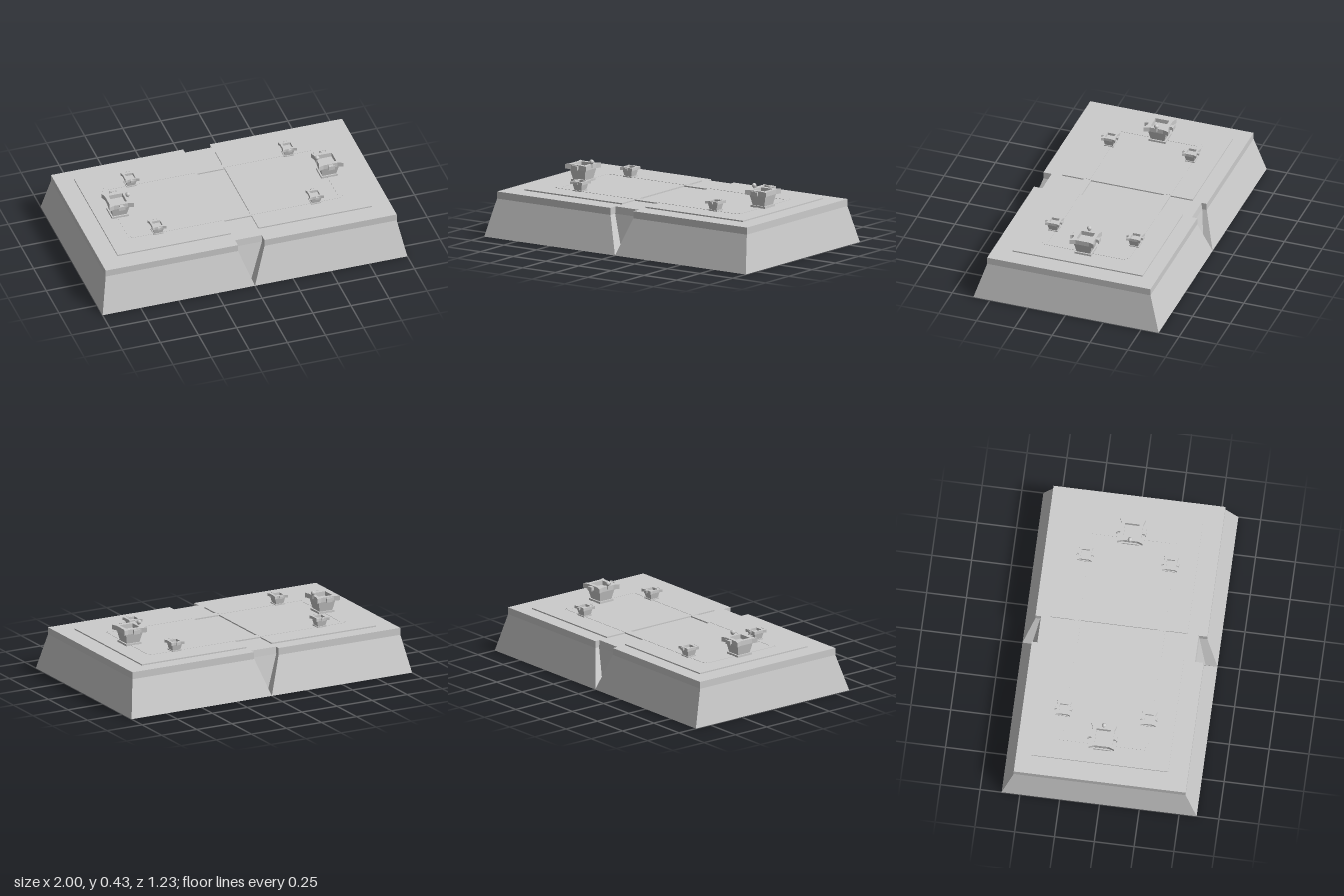
import * as THREE from 'three';

const mat = new THREE.MeshStandardMaterial({ color: 0xcccccc, flatShading: true, side: THREE.DoubleSide });

function add(parent, name, geo, x = 0, y = 0, z = 0) {
  const mesh = new THREE.Mesh(geo, mat);
  mesh.name = name;
  mesh.position.set(x, y, z);
  parent.add(mesh);
  return mesh;
}

// Extrude an outline given as [x, z] points upward from y = 0
function slab(points, holes, height) {
  const toV = ([x, z]) => new THREE.Vector2(x, -z);
  const shape = new THREE.Shape(points.map(toV));
  holes.forEach((h) => shape.holes.push(new THREE.Path(h.map(toV))));
  return new THREE.ExtrudeGeometry(shape, { depth: height, bevelEnabled: false }).rotateX(-Math.PI / 2);
}

// Square frustum standing on y = 0
function frustum(bottom, top, height) {
  return new THREE.CylinderGeometry(top * Math.SQRT2, bottom * Math.SQRT2, height, 4)
    .rotateY(Math.PI / 4).translate(0, height / 2, 0);
}

// Rectangular loop with a notch of half width w in the front and back sides
function loop(y, X, front, back, w, notchFront, notchBack) {
  return [
    [-X, front], [-w, front], [-w, notchFront], [w, notchFront], [w, front], [X, front],
    [X, back], [w, back], [w, notchBack], [-w, notchBack], [-w, back], [-X, back],
  ].map(([x, z]) => new THREE.Vector3(x, y, z));
}

// Hollow base: loops run from the ceiling inside, around the rim, to the top
function baseGeometry() {
  const loops = [
    loop(0.25, 0.885, 0.495, -0.505, 0.095, 0.455, -0.485),
    loop(0, 0.92, 0.53, -0.54, 0, 0.53, -0.54),
    loop(0, 1, 0.61, -0.615, 0, 0.535, -0.555),
    loop(0.235, 0.955, 0.535, -0.545, 0.087, 0.485, -0.515),
    loop(0.28, 0.955, 0.535, -0.545, 0.087, 0.48, -0.51),
  ];
  const pos = [];
  const tri = (...vs) => vs.forEach((v) => pos.push(v.x, v.y, v.z));
  for (let k = 0; k + 1 < loops.length; k++) {
    const lo = loops[k], up = loops[k + 1];
    lo.forEach((a, i) => {
      const j = (i + 1) % lo.length;
      tri(a, lo[j], up[j]);
      tri(a, up[j], up[i]);
    });
  }
  const cap = (ring, up) => {
    const flat = ring.map((v) => new THREE.Vector2(v.x, -v.z));
    for (const [a, b, c] of THREE.ShapeUtils.triangulateShape(flat, [])) {
      if (up) tri(ring[a], ring[b], ring[c]);
      else tri(ring[a], ring[c], ring[b]);
    }
  };
  cap(loops[4], true);
  cap(loops[0], false);
  const geo = new THREE.BufferGeometry();
  geo.setAttribute('position', new THREE.Float32BufferAttribute(pos, 3));
  geo.computeVertexNormals();
  return geo;
}

// Tower with a flared, open crown; the large one carries a ball
function tower(name, withBall) {
  const g = new THREE.Group();
  g.name = name;
  add(g, 'towerFoot', new THREE.BoxGeometry(0.11, 0.014, 0.11), 0, 0.007, 0);
  add(g, 'towerBody', frustum(0.045, 0.06, 0.07), 0, 0.012, 0);
  const outline = [];
  for (let i = 0; i < 4; i++) {
    const c = Math.round(Math.cos(i * Math.PI / 2)), s = Math.round(Math.sin(i * Math.PI / 2));
    // one flared corner and the hollowed side after it
    for (const [x, z] of [[-0.08, 0.08], [-0.045, 0.068], [0.045, 0.068]])
      outline.push([x * c + z * s, z * c - x * s]);
  }
  const r = 0.045;
  add(g, 'towerCrown', slab(outline, [[[-r, -r], [r, -r], [r, r], [-r, r]]], 0.03), 0, 0.08, 0);
  for (const s of [-1, 1]) {
    add(g, 'crownBracket', new THREE.BoxGeometry(0.026, 0.022, 0.025), 0, 0.095, s * 0.076);
    add(g, 'crownTab', new THREE.BoxGeometry(0.042, 0.026, 0.007), 0, 0.095, s * 0.09);
  }
  if (withBall) {
    add(g, 'ballStem', new THREE.CylinderGeometry(0.008, 0.008, 0.03, 6), 0.066, 0.105, 0);
    add(g, 'ball', new THREE.IcosahedronGeometry(0.015, 1), 0.066, 0.127, 0);
  }
  return g;
}

export function createModel() {
  const root = new THREE.Group();
  root.name = 'arenaBoard';
  add(root, 'base', baseGeometry());

  // Raised field: two halves joined by two bridges across the channel
  const e = 0.835, w = 0.09, zb = -0.45, zf = 0.41;
  add(root, 'field', slab(
    [[-e, zf], [-w, zf], [-w, 0.27], [w, 0.27], [w, zf], [e, zf],
      [e, zb], [w, zb], [w, -0.305], [-w, -0.305], [-w, zb], [-e, zb]],
    [[[-w, 0.22], [w, 0.22], [w, -0.26], [-w, -0.26]]], 0.008), 0, 0.28, 0);

  for (const s of [-1, 1]) {
    const side = new THREE.Group();
    side.name = s < 0 ? 'rightHalf' : 'leftHalf';
    // Each half is laid out on the -x side and turned about the middle
    side.rotation.y = s < 0 ? 0 : Math.PI;
    side.position.set(-0.005, 0, -0.02);
    root.add(side);

    // Thick slab under the field
    add(side, 'undersideSlab', new THREE.BoxGeometry(0.745, 0.035, 0.86), -0.4625, 0.235, 0);

    const big = tower('mainTower', true);
    big.position.set(-0.687, 0.287, 0);
    side.add(big);

    // Thin lanes from the main tower past the side towers to the bridges
    add(side, 'crossLane', new THREE.BoxGeometry(0.035, 0.002, 0.54), -0.69, 0.2885, 0);
    for (const t of [-1, 1]) {
      const z = t * 0.268;
      add(side, 'lane', new THREE.BoxGeometry(0.6, 0.002, 0.035), -0.39, 0.2885, z);
      const small = tower('sideTower', false);
      small.scale.setScalar(0.58);
      small.position.set(-0.517, 0.287, z);
      side.add(small);
    }
  }
  return root;
}
